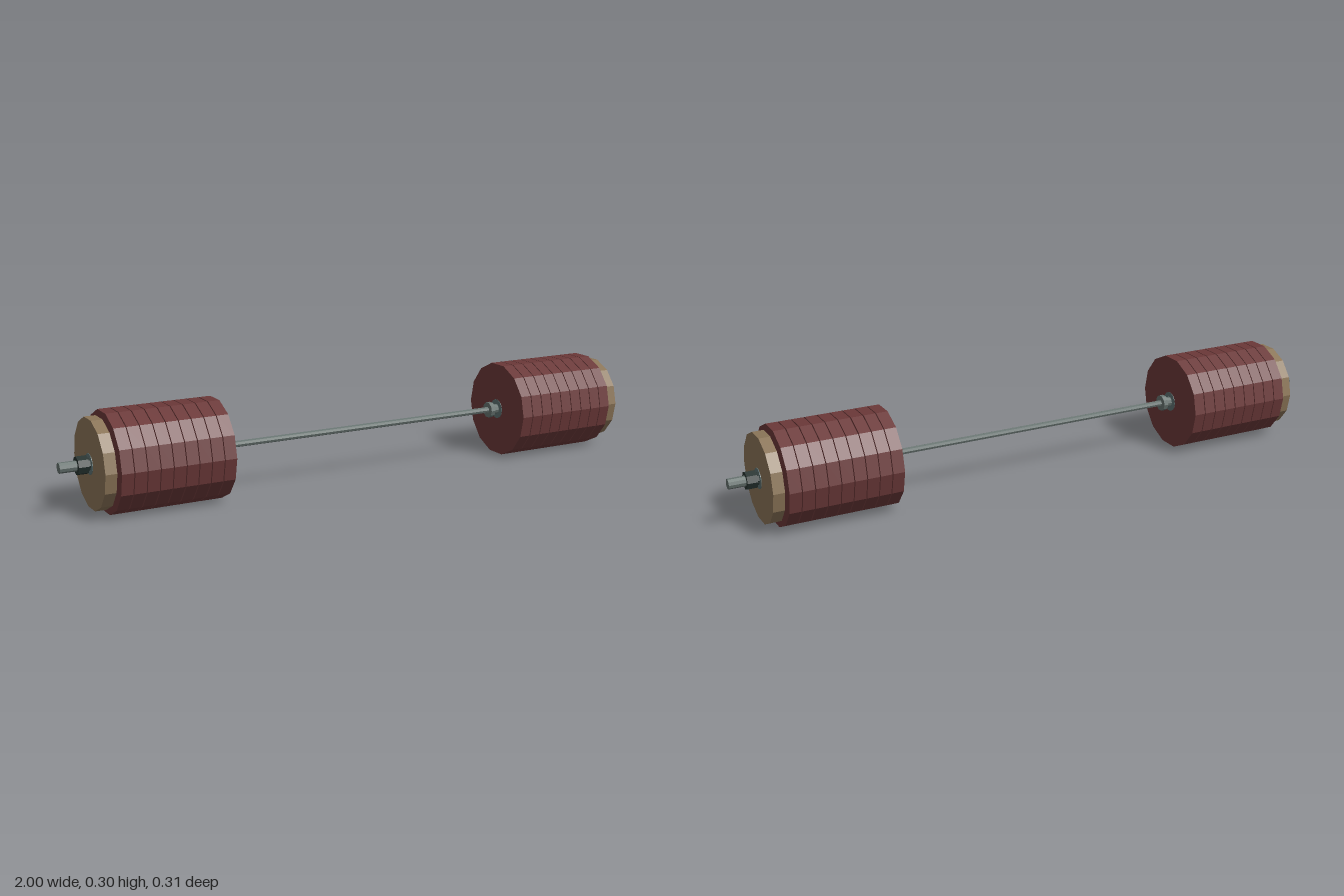
import * as THREE from 'three';

const AXIS_Y = 0.151;
const mat = (name, color) => {
  const m = new THREE.MeshStandardMaterial({ color });
  m.name = name;
  m.flatShading = true;
  return m;
};

export function createModel() {
  const red = mat('dark red', 0x6a3838);
  const tan = mat('tan', 0x8a7457);
  const steel = mat('steel', 0x66726f);
  const ring = mat('hub grey', 0x5c7070);
  const dark = mat('dark collar', 0x26322f);

  const model = new THREE.Group();
  model.name = 'barbell';

  // Faceted cylinder lying along x from x0 to x1, with a corner on the z axis
  const rod = (parent, name, material, r, x0, x1, sides) => {
    const g = new THREE.CylinderGeometry(r, r, x1 - x0, sides);
    g.rotateZ(-Math.PI / 2);
    const mesh = new THREE.Mesh(g, material);
    mesh.name = name;
    mesh.position.set((x0 + x1) / 2, AXIS_Y, 0);
    parent.add(mesh);
  };

  rod(model, 'gripBar', steel, 0.01, -0.5, 0.5, 8);

  // Same loaded sleeve at each end
  for (const side of [1, -1]) {
    const end = new THREE.Group();
    end.name = side > 0 ? 'leftEnd' : 'rightEnd';

    rod(end, 'sleeve', steel, 0.016, 0.488, 1, 10);
    rod(end, 'innerFlange', steel, 0.026, 0.475, 0.49, 10);

    // Nine large plates with raised hubs
    const pitch = 0.0396;
    for (let i = 0; i < 9; i++) {
      const x = 0.512 + i * pitch;
      rod(end, 'largePlate', red, 0.155, x, x + pitch - 0.003, 14);
      rod(end, 'plateHub', ring, 0.032, x - 0.0015, x + pitch - 0.0015, 14);
    }

    // Small outer plate and its hub
    rod(end, 'smallPlate', tan, 0.138, 0.873, 0.908, 14);
    rod(end, 'smallPlateHub', ring, 0.032, 0.868, 0.91, 14);

    // Locking collar
    rod(end, 'collarNeck', dark, 0.02, 0.908, 0.918, 8);
    rod(end, 'lockCollar', dark, 0.028, 0.917, 0.948, 8);

    if (side < 0) end.rotation.y = Math.PI;
    model.add(end);
  }
  return model;
}
